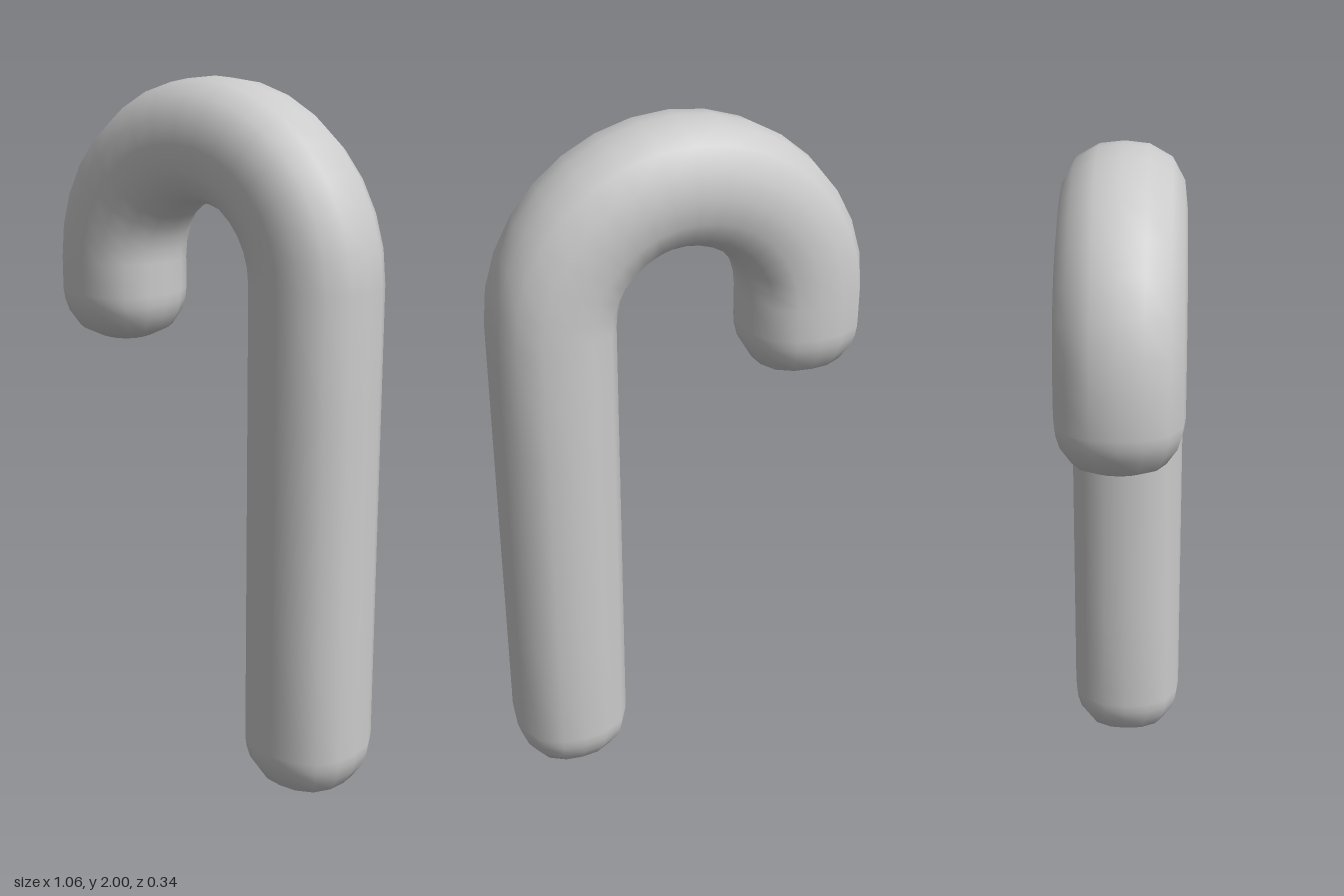
import * as THREE from 'three';
import { mergeVertices } from 'three/addons/utils/BufferGeometryUtils.js';

const SIDES = 16, RADIUS = 0.171, BEND = 0.36, BEND_Y = 1.47, ARC_STEPS = 16;

// Rounded end: [width scale, distance beyond the straight tube]
const CAP = [[1, 0], [0.98, 0.03], [0.92, 0.065], [0.75, 0.11], [0.42, 0.138], [0, 0.145]];

// Slightly squared circle used as the cross-section
function sectionPoint(j) {
  const a = (j / SIDES) * Math.PI * 2;
  const r = RADIUS * (1 + 0.07 * Math.sin(2 * a) ** 2);
  return [Math.cos(a) * r, Math.sin(a) * r];
}

// Rings along the cane: centre x, y, outward direction angle, width scale
function caneRings() {
  const rings = [];
  const footY = 0.15, tipY = 1.375;
  for (const [s, d] of [...CAP].reverse()) rings.push([BEND, footY - d, 0, s]);
  for (let k = 1; k < 4; k++) rings.push([BEND, footY + (BEND_Y - footY) * k / 4, 0, 1]);
  for (let i = 0; i <= ARC_STEPS; i++) {
    const a = (i / ARC_STEPS) * Math.PI;
    rings.push([Math.cos(a) * BEND, BEND_Y + Math.sin(a) * BEND, a, 1]);
  }
  for (const [s, d] of CAP) rings.push([-BEND + 0.04 * d, tipY - d, Math.PI, s]);
  return rings;
}

function caneGeometry() {
  const rings = caneRings(), positions = [], index = [];
  rings.forEach(([x, y, a, s], i) => {
    for (let j = 0; j < SIDES; j++) {
      const [n, z] = sectionPoint(j);
      positions.push(x + Math.cos(a) * n * s, y + Math.sin(a) * n * s, z * s);
      if (i === rings.length - 1) continue;
      const p = i * SIDES + j, q = i * SIDES + (j + 1) % SIDES;
      if (i < rings.length - 2) index.push(p, p + SIDES, q + SIDES);
      if (i > 0) index.push(p, q + SIDES, q);
    }
  });
  const geometry = new THREE.BufferGeometry();
  geometry.setAttribute('position', new THREE.Float32BufferAttribute(positions, 3));
  geometry.setIndex(index);
  // Weld the end points so the caps shade smoothly
  const welded = mergeVertices(geometry, 1e-5);
  welded.computeVertexNormals();
  return welded;
}

export function createModel() {
  const group = new THREE.Group();
  group.name = 'cane';
  const body = new THREE.Mesh(caneGeometry(), new THREE.MeshStandardMaterial({ color: 0xcccccc }));
  body.name = 'hookedCane';
  group.add(body);
  return group;
}
